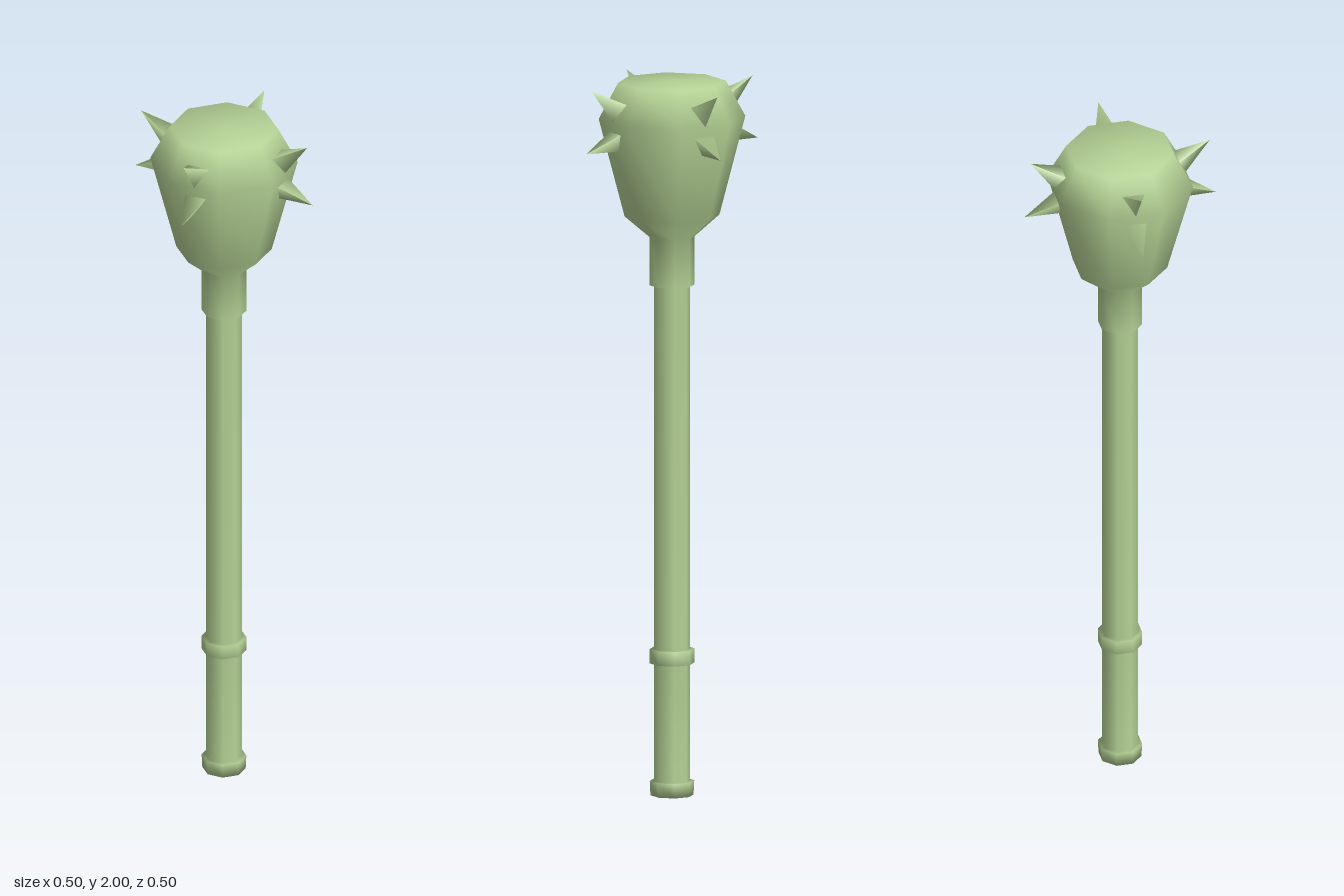
import * as THREE from 'three';

const SIDES = 8;
const material = new THREE.MeshStandardMaterial({ color: 0xb4d194 });

// Eight-sided turned part from [radius, height] pairs, bottom to top
function turned(name, profile) {
  const points = profile.map(([r, y]) => new THREE.Vector2(r, y));
  const mesh = new THREE.Mesh(new THREE.LatheGeometry(points, SIDES), material);
  mesh.name = name;
  return mesh;
}

// Three-sided spike from a base centre to a tip, both given as [radius, height];
// one base corner points down
function spike(name, base, tip) {
  const dr = tip[0] - base[0], dy = tip[1] - base[1];
  const length = Math.hypot(dr, dy);
  const geometry = new THREE.ConeGeometry(0.042, length, 3);
  geometry.translate(0, length / 2, 0);
  geometry.rotateX(Math.PI / 2 - Math.atan2(dy, dr)); // lean outward along +z
  geometry.translate(0, base[1], base[0]);
  const mesh = new THREE.Mesh(geometry, material);
  mesh.name = name;
  return mesh;
}

export function createModel() {
  const model = new THREE.Group();
  model.name = 'spikedMace';

  // Handle: pommel, grip, ring and shaft in one smooth profile
  model.add(turned('handle', [
    [0, 0], [0.06, 0], [0.062, 0.04], [0.05, 0.04],
    [0.05, 0.37], [0.062, 0.37], [0.062, 0.41], [0.05, 0.41],
    [0.05, 1.43], [0.062, 1.43],
  ]));

  // Head: socket, flare, swelling and flat top
  model.add(turned('head', [
    [0.062, 1.43], [0.062, 1.565], [0.132, 1.625],
    [0.204, 1.9], [0.15, 2], [0, 2],
  ]));

  // Spikes: four pairs, each on the middle of a flat side
  for (let i = 0; i < 4; i++) {
    const pair = new THREE.Group();
    pair.name = 'spikePair';
    pair.add(spike('upperSpike', [0.16, 1.93], [0.255, 1.995]));
    pair.add(spike('lowerSpike', [0.16, 1.858], [0.272, 1.82]));
    pair.rotation.y = -Math.PI / 8 + i * Math.PI / 2;
    model.add(pair);
  }
  return model;
}
